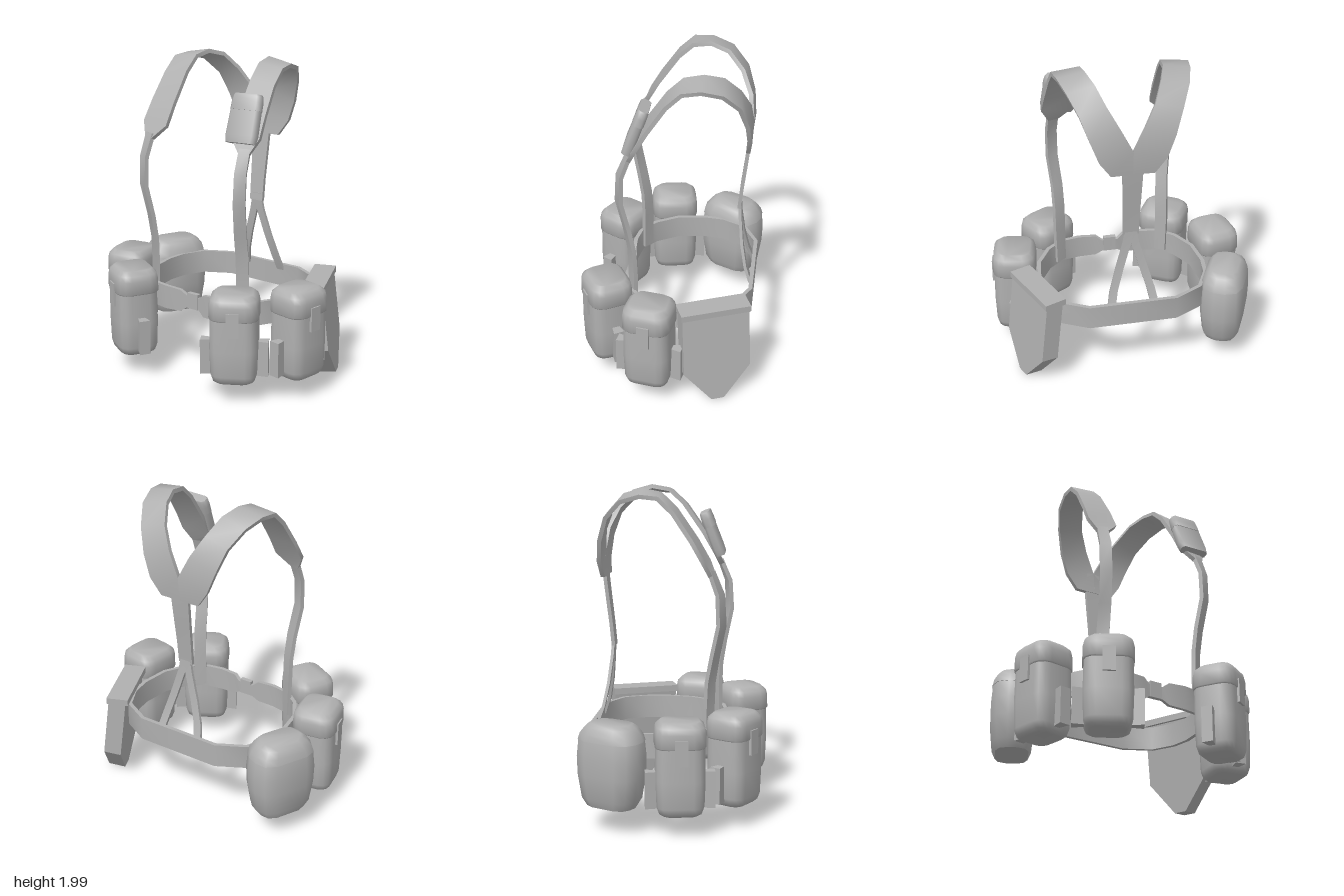
import * as THREE from 'three';
import { toCreasedNormals } from 'three/addons/utils/BufferGeometryUtils.js';

const V = (x, y, z) => new THREE.Vector3(x, y, z);

// Skin a row of equal-sized rings; capped at both ends, or joined into a hoop
function loft(rings, { closed = false, crease = 0.75 } = {}) {
  const n = rings[0].length, m = rings.length;
  const pts = rings.flat(), idx = [];
  for (let i = 0; i < (closed ? m : m - 1); i++) {
    for (let j = 0; j < n; j++) {
      const a = i * n + j, b = i * n + (j + 1) % n;
      const k = ((i + 1) % m) * n;
      const c = k + j, d = k + (j + 1) % n;
      idx.push(a, b, d, a, d, c);
    }
  }
  if (!closed) {
    const e = (m - 1) * n;
    for (let j = 1; j < n - 1; j++) idx.push(0, j + 1, j, e, e + j, e + j + 1);
  }
  // Turn the faces outward if the rings run the other way
  let volume = 0;
  for (let i = 0; i < idx.length; i += 3) {
    volume += pts[idx[i]].dot(pts[idx[i + 1]].clone().cross(pts[idx[i + 2]]));
  }
  if (volume < 0) idx.reverse();
  const g = new THREE.BufferGeometry().setFromPoints(pts);
  g.setIndex(idx);
  return toCreasedNormals(g, crease);
}

// Flat strap through stations of two edge points: [x, y, z, x, y, z]
function ribbon(stations, thickness, closed = false) {
  const edges = stations.map(s => [V(s[0], s[1], s[2]), V(s[3], s[4], s[5])]);
  const mid = edges.map(([a, b]) => a.clone().add(b).multiplyScalar(0.5));
  const m = edges.length;
  const rings = edges.map(([a, b], i) => {
    const next = mid[closed ? (i + 1) % m : Math.min(i + 1, m - 1)];
    const prev = mid[closed ? (i + m - 1) % m : Math.max(i - 1, 0)];
    const off = next.clone().sub(prev).cross(a.clone().sub(b)).setLength(thickness / 2);
    return [a.clone().add(off), b.clone().add(off), b.clone().sub(off), a.clone().sub(off)];
  });
  return loft(rings, { closed });
}

// Rounded rectangle ring at height y
function roundRing(w, d, y, r, steps = 3) {
  const ring = [];
  for (let q = 0; q < 4; q++) {
    const sx = q === 0 || q === 3 ? 1 : -1, sz = q < 2 ? 1 : -1;
    for (let k = 0; k <= steps; k++) {
      const a = (q + k / steps) * Math.PI / 2;
      ring.push(V(sx * (w / 2 - r) + r * Math.cos(a), y, sz * (d / 2 - r) + r * Math.sin(a)));
    }
  }
  return ring;
}

// Soft block from levels of [y, scale]
const softBlock = (w, d, r, levels, steps) =>
  loft(levels.map(([y, s]) => roundRing(w * s, d * s, y, r * s, steps)), { crease: 1 });

export function createModel() {
  const model = new THREE.Group();
  const canvas = new THREE.MeshStandardMaterial({ color: 0xb0b0b0 });
  canvas.name = 'grey canvas';

  const add = (parent, name, geometry, x = 0, y = 0, z = 0) => {
    const mesh = new THREE.Mesh(geometry, canvas);
    mesh.name = name;
    mesh.position.set(x, y, z);
    parent.add(mesh);
    return mesh;
  };
  const place = (name, x, y, z, yaw) => {
    const g = new THREE.Group();
    g.name = name;
    g.position.set(x, y, z);
    g.rotation.y = THREE.MathUtils.degToRad(yaw);
    model.add(g);
    return g;
  };

  // Belt: half outline as [x, z, half height], mirrored into a hoop
  const half = [[0, 0.255, 0.04], [0.05, 0.257, 0.04], [0.09, 0.268, 0.07], [0.2, 0.272, 0.075],
    [0.32, 0.25, 0.075], [0.42, 0.17, 0.075], [0.5, 0.03, 0.075], [0.525, -0.15, 0.075],
    [0.51, -0.28, 0.075], [0.44, -0.42, 0.075], [0.27, -0.51, 0.075], [0, -0.51, 0.075]];
  const outline = [...half, ...half.slice(1, -1).reverse().map(([x, z, h]) => [-x, z, h])];
  add(model, 'belt', ribbon(outline.map(([x, z, h]) => [x, 0.5 + h, z, x, 0.5 - h, z]), 0.025, true));
  add(model, 'beltBuckle', new THREE.BoxGeometry(0.08, 0.1, 0.03), 0, 0.51, 0.258);

  // Harness straps, outer edge then inner edge
  const frontStrap = [
    [0.365, 0.45, 0.19, 0.305, 0.45, 0.235], [0.37, 0.69, 0.19, 0.305, 0.69, 0.232],
    [0.37, 0.85, 0.197, 0.305, 0.85, 0.238], [0.375, 1.0, 0.225, 0.31, 1.0, 0.262],
    [0.395, 1.2, 0.268, 0.33, 1.2, 0.303], [0.397, 1.38, 0.262, 0.332, 1.38, 0.292],
    [0.39, 1.52, 0.212, 0.325, 1.52, 0.232]];
  const shoulderPad = [
    [0.39, 1.49, 0.222, 0.325, 1.49, 0.24], [0.435, 1.58, 0.18, 0.245, 1.57, 0.2],
    [0.425, 1.7, 0.11, 0.242, 1.7, 0.125], [0.41, 1.86, 0, 0.24, 1.88, 0],
    [0.405, 1.945, -0.09, 0.235, 1.965, -0.09], [0.388, 1.955, -0.2, 0.225, 1.985, -0.2],
    [0.355, 1.92, -0.32, 0.19, 1.955, -0.31], [0.3, 1.82, -0.415, 0.14, 1.86, -0.4],
    [0.25, 1.68, -0.46, 0.07, 1.74, -0.455], [0.2, 1.55, -0.472, 0, 1.6, -0.472],
    [0.13, 1.45, -0.46, 0, 1.45, -0.458]];
  const lowerBackStrap = [
    [0.03, 1.06, -0.414, -0.02, 1.06, -0.414], [0.05, 0.95, -0.42, 0, 0.95, -0.42],
    [0.1, 0.78, -0.438, 0.05, 0.78, -0.438], [0.14, 0.64, -0.465, 0.09, 0.64, -0.465],
    [0.16, 0.54, -0.5, 0.11, 0.54, -0.5]];
  const centerStrap = [[1.6, 0.05, -0.47], [1.45, 0.06, -0.46], [1.3, 0.055, -0.443],
    [1.15, 0.05, -0.425], [1.01, 0.048, -0.412]];
  for (const [side, s] of [['left', 1], ['right', -1]]) {
    const flip = list => list.map(p => [s * p[0], p[1], p[2], s * p[3], p[4], p[5]]);
    add(model, side + 'FrontStrap', ribbon(flip(frontStrap), 0.026));
    add(model, side + 'ShoulderPad', ribbon(flip(shoulderPad), 0.026));
    add(model, side + 'LowerBackStrap', ribbon(flip(lowerBackStrap), 0.018));
  }
  add(model, 'centerBackStrap', ribbon(centerStrap.map(([y, w, z]) => [w, y, z, -w, y, z]), 0.022));

  // Ammunition pouches: body, lid, closing tab and side loops
  const body = softBlock(0.29, 0.26, 0.07, [[0.135, 0.72], [0.15, 0.87], [0.19, 0.96],
    [0.35, 1], [0.56, 0.98]]);
  const lid = softBlock(0.3, 0.272, 0.075, [[0.543, 0.97], [0.55, 1], [0.63, 0.99],
    [0.665, 0.94], [0.692, 0.75]]);
  const sideLoop = s => loft([[0.12, 0.018], [0.205, 0.035]].map(([x, h]) => [
    V(s * x, 0.17, -h), V(s * x, 0.17, h), V(s * x, 0.39, h), V(s * x, 0.39, -h)]));
  const loops = [sideLoop(1), sideLoop(-1)];
  for (const s of [1, -1]) {
    for (const [name, x, z, yaw] of [['FrontPouch', 0.395, 0.37, 30], ['SidePouch', 0.65, 0.07, 80]]) {
      const pouch = place((s > 0 ? 'left' : 'right') + name, s * x, 0, z, s * yaw);
      add(pouch, 'pouchBody', body);
      add(pouch, 'pouchLid', lid);
      add(pouch, 'closingTab', new THREE.BoxGeometry(0.075, 0.15, 0.02), 0, 0.525, 0.134);
      loops.forEach(g => add(pouch, 'sideLoop', g));
    }
  }

  // Shovel cover, leaning out at the bottom
  const cover = place('shovelCover', 0.556, 0.635, -0.305, 112);
  const profile = [[-0.21, -0.02], [-0.21, -0.42], [-0.04, -0.628], [0.04, -0.628], [0.21, -0.42], [0.21, -0.02]];
  const shell = add(cover, 'coverBody',
    loft([-0.055, 0.055].map(z => profile.map(([x, y]) => V(x, y, z))), { crease: 0.2 }));
  shell.rotation.x = -0.12;
  add(cover, 'coverLid', new THREE.BoxGeometry(0.435, 0.04, 0.138), 0, -0.02, 0);

  // Canteen in its rounded cover
  const canteen = place('canteen', -0.625, 0, -0.335, -116);
  add(canteen, 'canteenBody', softBlock(0.41, 0.27, 0.1, [[0.16, 0.72], [0.21, 0.87],
    [0.35, 0.98], [0.46, 1], [0.56, 0.95], [0.6, 0.88]], 2));
  add(canteen, 'canteenLid', softBlock(0.41, 0.27, 0.1, [[0.56, 0.97], [0.6, 0.91],
    [0.64, 0.76], [0.66, 0.62]], 2));

  // Small pouch on the left shoulder strap
  const shoulderPouch = place('shoulderPouch', 0.322, 1.687, 0.178, 0);
  shoulderPouch.rotation.set(-0.36, 0, 0.05);
  add(shoulderPouch, 'shoulderPouchBody', softBlock(0.21, 0.065, 0.016,
    [[-0.145, 0.93], [-0.1, 1], [0.07, 0.95]], 1));
  add(shoulderPouch, 'shoulderPouchFlap', softBlock(0.208, 0.07, 0.018,
    [[0.05, 0.98], [0.1, 0.97], [0.135, 0.92], [0.147, 0.85]], 1));

  return model;
}
